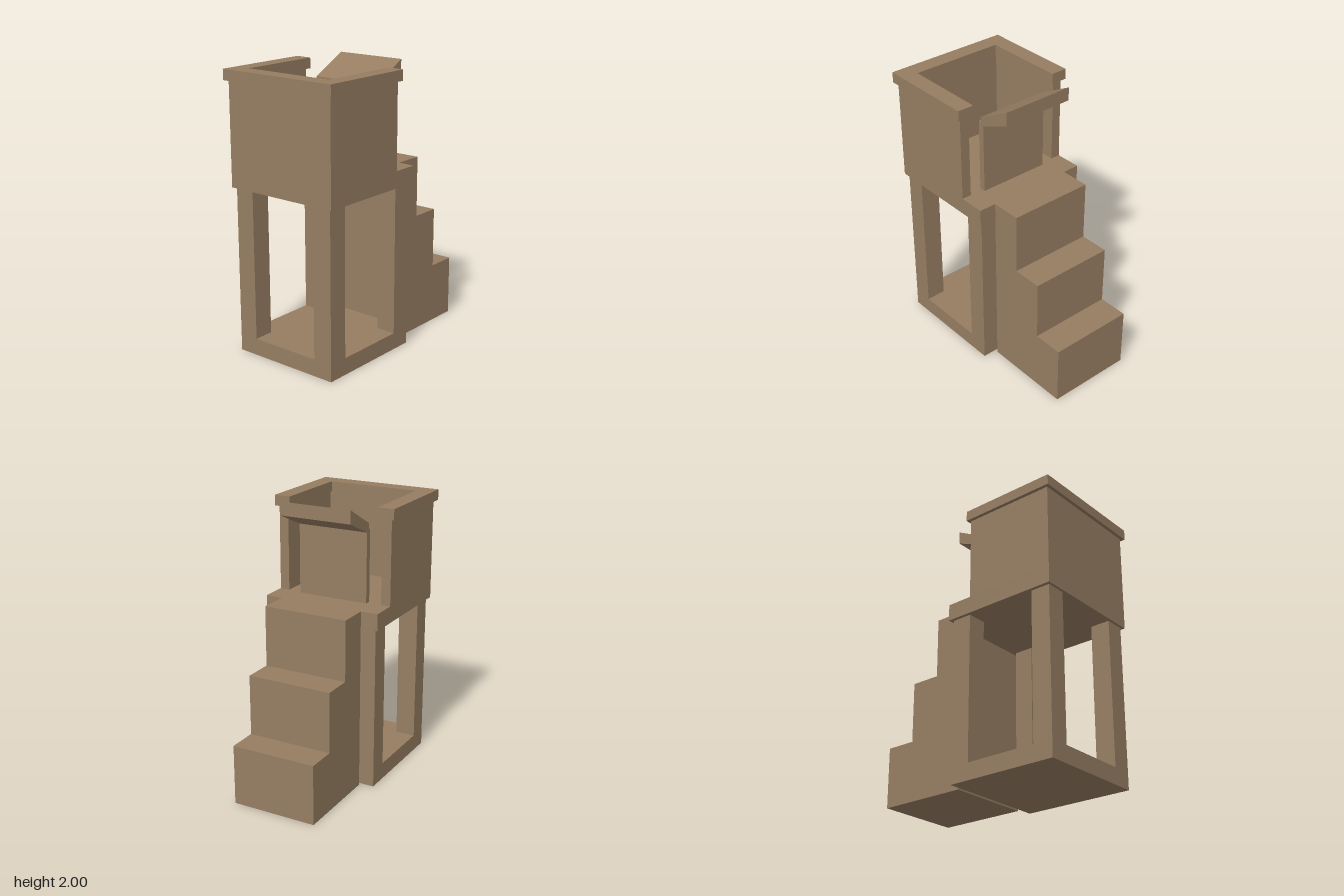
import * as THREE from 'three';

export function createModel() {
  const model = new THREE.Group();
  model.name = 'pulpit';
  const wood = new THREE.MeshStandardMaterial({ color: 0x967d62 });
  wood.name = 'brown wood';

  function add(name, geometry) {
    const mesh = new THREE.Mesh(geometry, wood);
    mesh.name = name;
    model.add(mesh);
    return mesh;
  }

  // box given by its limits on each axis
  function box(name, [x0, x1], [y0, y1], [z0, z1]) {
    const g = new THREE.BoxGeometry(x1 - x0, y1 - y0, z1 - z0);
    g.translate((x0 + x1) / 2, (y0 + y1) / 2, (z0 + z1) / 2);
    return add(name, g);
  }

  // side profile of [z, y] points, extruded across x and centred
  function sideProfile(name, points, width) {
    const shape = new THREE.Shape(points.map(([z, y]) => new THREE.Vector2(-z, y)));
    const g = new THREE.ExtrudeGeometry(shape, { depth: width, bevelEnabled: false });
    g.translate(0, 0, -width / 2);
    g.rotateY(Math.PI / 2);
    return add(name, g);
  }

  // U-shaped plan, open towards the back, extruded upwards
  function openFrame(name, halfX, front, back, thick, y0, y1) {
    const inX = halfX - thick, inZ = front - thick;
    const plan = [[-halfX, back], [-halfX, front], [halfX, front], [halfX, back],
      [inX, back], [inX, inZ], [-inX, inZ], [-inX, back]];
    const shape = new THREE.Shape(plan.map(([x, z]) => new THREE.Vector2(x, -z)));
    const g = new THREE.ExtrudeGeometry(shape, { depth: y1 - y0, bevelEnabled: false });
    g.rotateX(-Math.PI / 2);
    g.translate(0, y0, 0);
    return add(name, g);
  }

  // stand: base slab and four posts
  box('base', [-0.41, 0.41], [0, 0.12], [-0.095, 0.725]);
  for (const [side, x] of [['right', [-0.41, -0.265]], ['left', [0.265, 0.41]]]) {
    box(side + 'FrontPost', x, [0.12, 1.18], [0.58, 0.725]);
    box(side + 'BackPost', x, [0.12, 1.18], [-0.095, 0.05]);
  }

  // platform with parapet and overhanging rim
  box('platform', [-0.435, 0.435], [1.18, 1.3], [-0.12, 0.745]);
  openFrame('parapet', 0.435, 0.745, 0.07, 0.07, 1.3, 1.905);
  openFrame('rim', 0.46, 0.77, 0.05, 0.12, 1.905, 1.98);

  // staircase at the back
  sideProfile('stairs', [[-0.12, 0], [-0.77, 0], [-0.77, 0.433], [-0.553, 0.433],
    [-0.553, 0.867], [-0.337, 0.867], [-0.337, 1.3], [-0.12, 1.3]], 0.62);

  // lectern: upright panel and sloping desk
  box('lecternPanel', [-0.262, 0.262], [1.3, 1.82], [0.05, 0.095]);
  sideProfile('lecternDesk', [[0.07, 1.79], [-0.192, 1.905], [-0.192, 2], [0.07, 1.86]], 0.53);

  return model;
}
